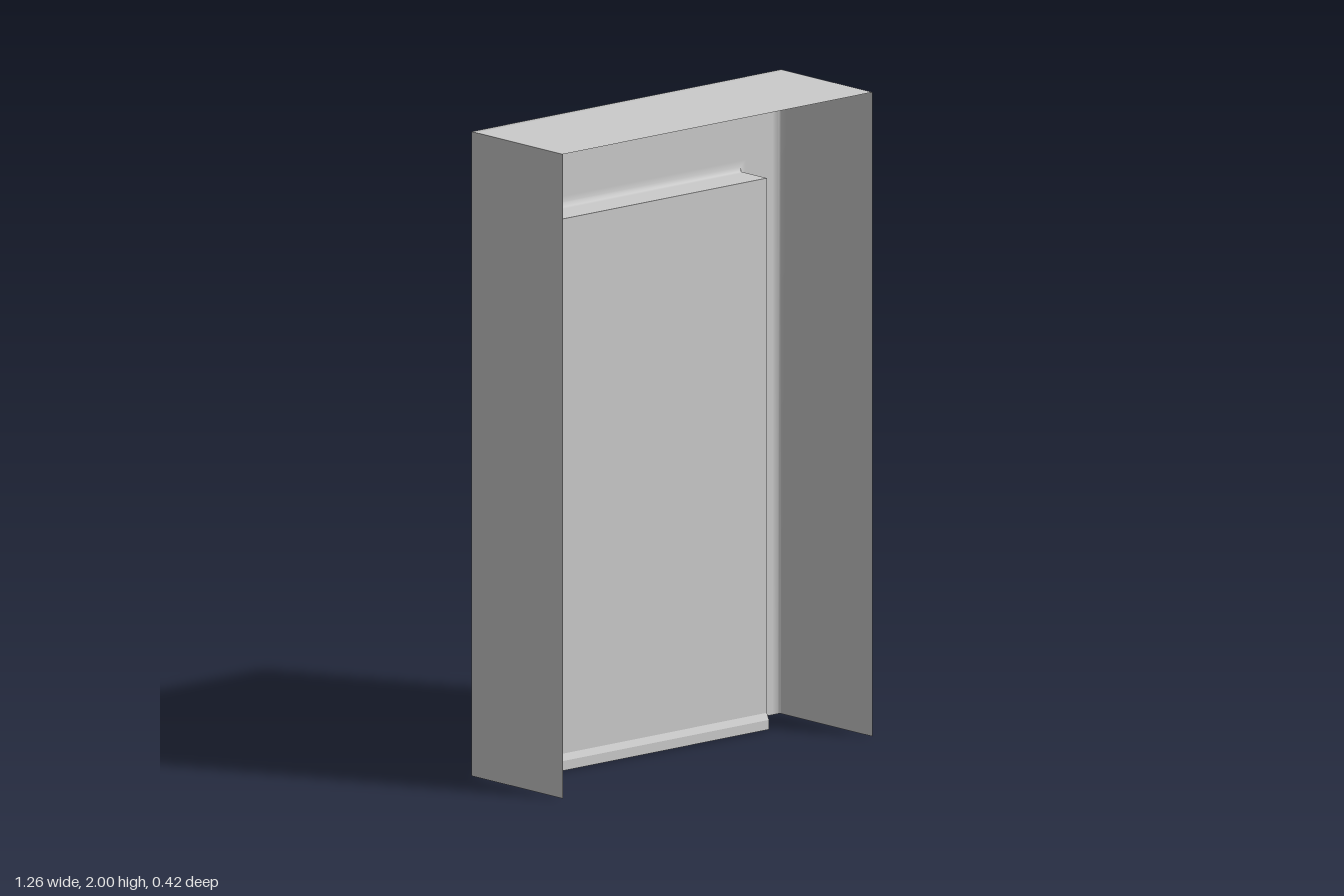
import * as THREE from 'three';
import { toCreasedNormals } from 'three/addons/utils/BufferGeometryUtils.js';

// Skin a series of equal-length cross-sections with quads.
function loft(sections, crease) {
  const n = sections[0].length;
  const index = [];
  for (let i = 0; i < sections.length - 1; i++) {
    for (let j = 0; j < n - 1; j++) {
      const a = i * n + j, b = a + 1, c = b + n, d = a + n;
      index.push(a, b, c, a, c, d);
    }
  }
  const geometry = new THREE.BufferGeometry();
  geometry.setAttribute('position', new THREE.Float32BufferAttribute(sections.flat(2), 3));
  geometry.setIndex(index);
  return toCreasedNormals(geometry, crease);
}

// Inverted U outline, open at the floor.
const arch = ([w, h, z]) => [[-w, 0, z], [-w, h, z], [w, h, z], [w, 0, z]];

export function createModel() {
  const group = new THREE.Group();
  const material = new THREE.MeshStandardMaterial({ color: 0xcccccc, side: THREE.DoubleSide });
  const add = (name, geometry) => {
    const mesh = new THREE.Mesh(geometry, material);
    mesh.name = name;
    group.add(mesh);
  };
  const W = 0.63, H = 2, back = -0.21;
  const w = 0.46, h = 1.71, panelZ = -0.08;
  const outer = (inset, z) => arch([W - inset, H - inset, z]);
  const opening = (grow, z) => arch([w + grow, h + grow, z]);

  // Outer walls, softened back edge and back face, with the opening's reveal
  add('doorFrame', loft([
    outer(0, 0.21),
    outer(0, back + 0.03),
    outer(0, back + 0.006),
    outer(0.006, back),
    outer(0.03, back),
    opening(0.03, back),
    opening(0.012, back),
    opening(0, back + 0.012),
    opening(0, back + 0.03),
    opening(0, panelZ),
  ], 1.0));

  // Recessed panel with a shallow bevel along the floor
  const row = (y, z) => [[-w, y, z], [w, y, z]];
  add('doorPanel', loft([
    row(h, panelZ),
    row(0.05, panelZ),
    row(0.03, panelZ + 0.01),
    row(0, panelZ + 0.01),
  ], 0.3));

  return group;
}
